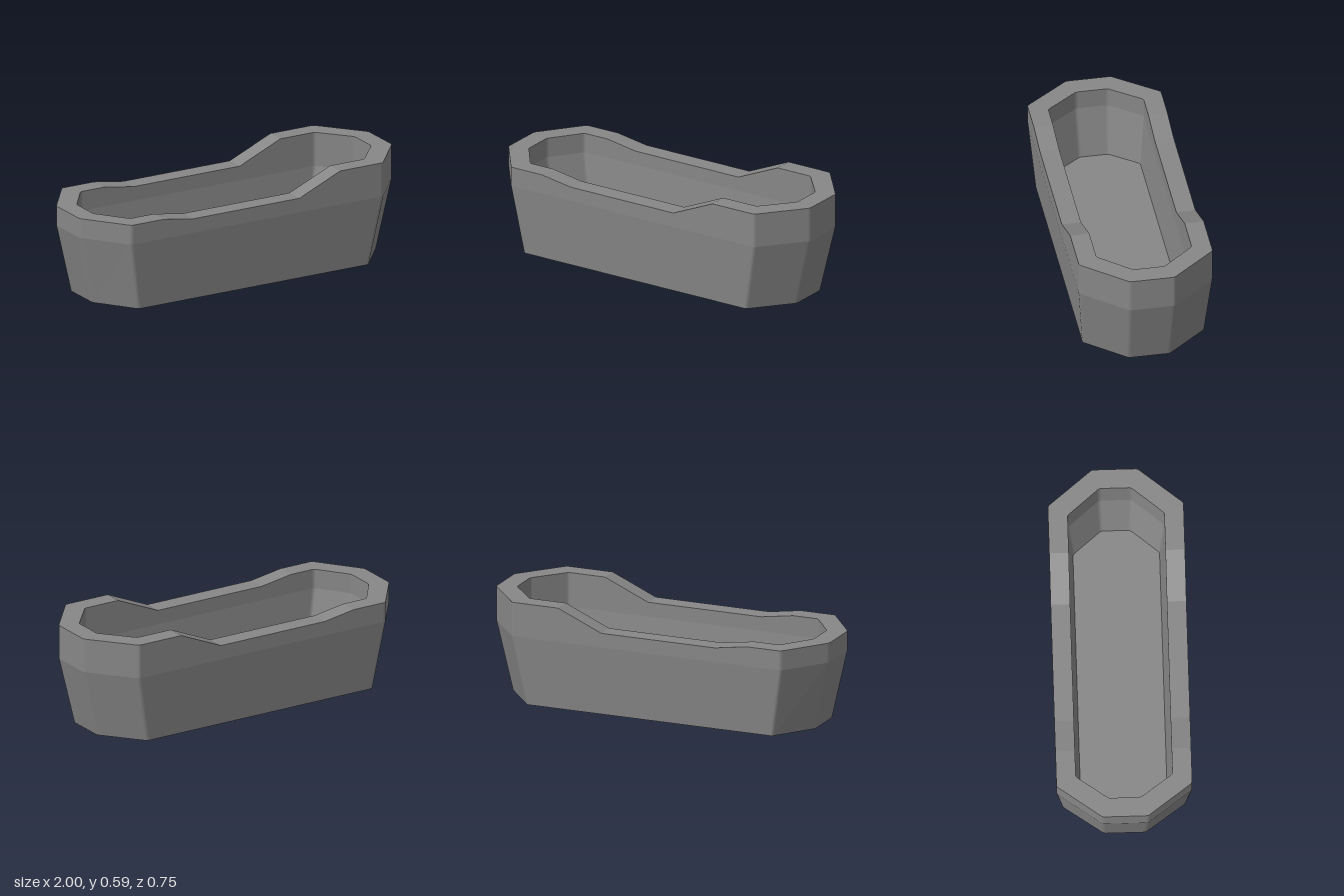
import * as THREE from 'three';

// Rim height along the length: low end, dip in the middle, raised end
const RIM = [[-0.61, 0.505], [-0.42, 0.475], [0.26, 0.475], [0.52, 0.588]];
const MID = 0.393;
const FLOOR = 0.107;
const ROUNDING = 0.012;

function rimHeight(x) {
  if (x <= RIM[0][0]) return RIM[0][1];
  for (let i = 1; i < RIM.length; i++) {
    const [x0, y0] = RIM[i - 1], [x1, y1] = RIM[i];
    if (x <= x1) return y0 + (y1 - y0) * (x - x0) / (x1 - x0);
  }
  return RIM[RIM.length - 1][1];
}

// Small rounding of one corner between its two neighbours
function roundCorner(prev, corner, next) {
  const towards = p => p.clone().sub(corner).setLength(ROUNDING).add(corner);
  return new THREE.QuadraticBezierCurve(towards(prev), corner, towards(next)).getPoints(3);
}

// Long octagon, with extra points on the long sides where the rim bends
function ring({ left, cornerLeft, cornerRight, right, endZ, sideZ }, height) {
  const c = [[left, -endZ], [left, endZ], [cornerLeft, sideZ], [cornerRight, sideZ], [right, endZ], [right, -endZ]]
    .map(([x, z]) => new THREE.Vector2(x, z));
  const corner = i => roundCorner(c[i - 1], c[i], c[i + 1]);
  const bends = RIM.map(([x]) => new THREE.Vector2(x, sideZ));
  const front = [...corner(1), ...corner(2), ...bends, ...corner(3), ...corner(4)];
  const back = front.map(p => new THREE.Vector2(p.x, -p.y)).reverse();
  return [...front, ...back].map(p => new THREE.Vector3(p.x, height(p.x), p.y));
}

const outerTop = { left: -1, cornerLeft: -0.815, cornerRight: 0.795, right: 1, endZ: 0.125, sideZ: 0.373 };
const outerBase = { left: -0.912, cornerLeft: -0.75, cornerRight: 0.72, right: 0.905, endZ: 0.115, sideZ: 0.34 };
const innerTop = { left: -0.89, cornerLeft: -0.76, cornerRight: 0.738, right: 0.89, endZ: 0.088, sideZ: 0.266 };
const innerBase = { left: -0.824, cornerLeft: -0.708, cornerRight: 0.682, right: 0.816, endZ: 0.08, sideZ: 0.238 };

// Quads between successive rings
function loft(rings) {
  const tris = [];
  for (let r = 0; r + 1 < rings.length; r++) {
    const lo = rings[r], hi = rings[r + 1], n = lo.length;
    for (let i = 0; i < n; i++) {
      const j = (i + 1) % n;
      tris.push(lo[i], lo[j], hi[j], lo[i], hi[j], hi[i]);
    }
  }
  return tris;
}

// Flat cap across a ring, facing up or down
function cap(points, up) {
  const tris = [], n = points.length;
  for (let i = 0; i + 1 < n / 2; i++) {
    const a = points[i], b = points[i + 1], c = points[n - 2 - i], d = points[n - 1 - i];
    tris.push(...(up ? [a, b, c, a, c, d] : [a, c, b, a, d, c]));
  }
  return tris;
}

export function createModel() {
  const group = new THREE.Group();
  group.name = 'trough';
  const material = new THREE.MeshStandardMaterial({ color: 0x878787, flatShading: true });

  const add = (name, tris) => {
    const geometry = new THREE.BufferGeometry().setFromPoints(tris);
    geometry.computeVertexNormals();
    const mesh = new THREE.Mesh(geometry, material);
    mesh.name = name;
    group.add(mesh);
  };

  const base = ring(outerBase, () => 0);
  const outerRim = ring(outerTop, rimHeight);
  const innerRim = ring(innerTop, rimHeight);
  const floor = ring(innerBase, () => FLOOR);

  // Tapered outside with an upright band above
  add('outerWall', loft([base, ring(outerTop, () => MID), outerRim]));
  add('underside', cap(base, false));
  // Broad rim and hollow inside
  add('rim', loft([outerRim, innerRim]));
  add('innerWall', loft([innerRim, ring(innerTop, () => MID), floor]));
  add('floor', cap(floor, true));
  return group;
}
